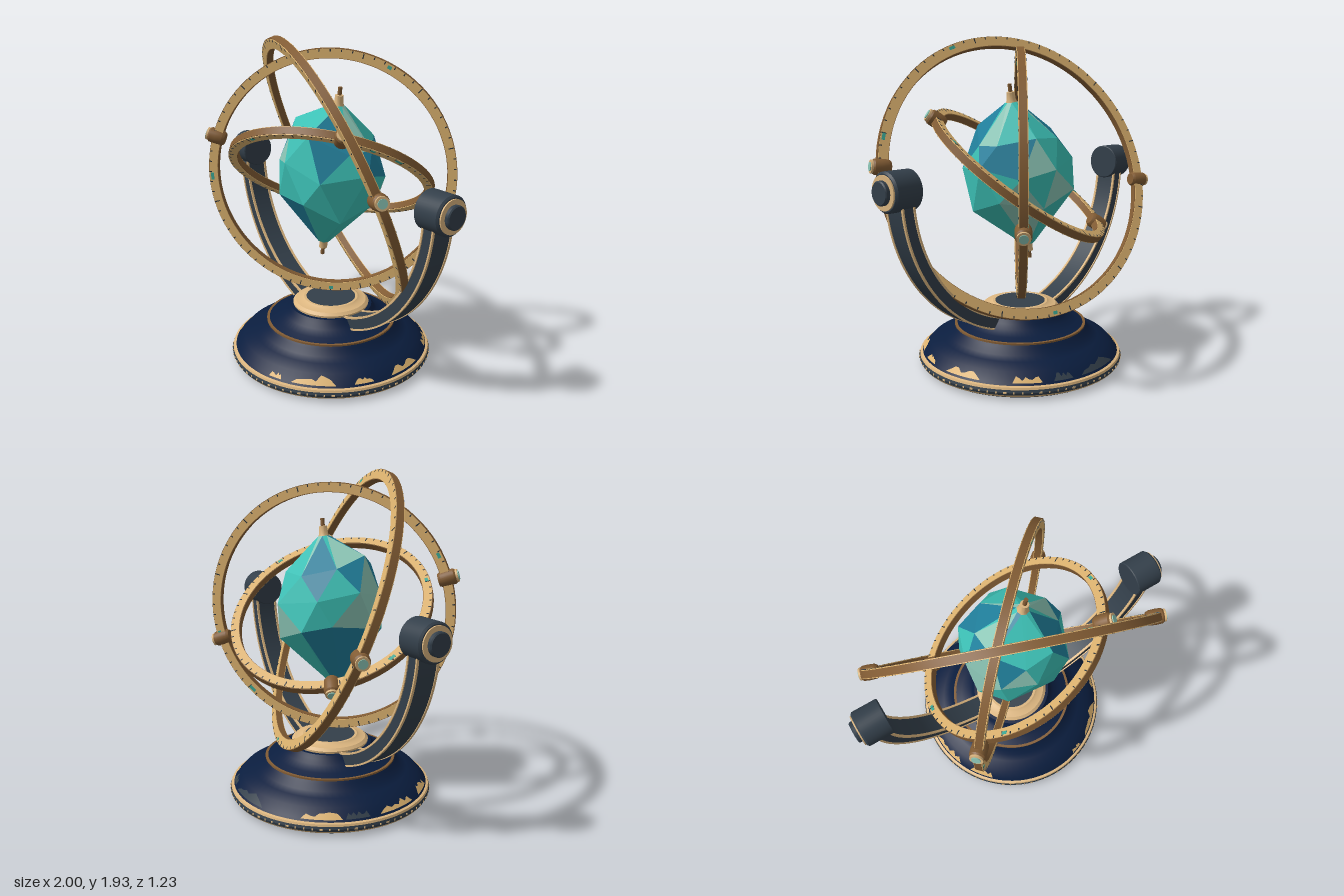
import * as THREE from 'three';
import { mergeGeometries, toCreasedNormals } from 'three/addons/utils/BufferGeometryUtils.js';

const mat = (name, color) => Object.assign(new THREE.MeshStandardMaterial({ color }), { name });
const M = {
  brass: mat('brass', 0xdcb26f), bronze: mat('bronze', 0x825c34), cream: mat('pale brass', 0xdcb680),
  slate: mat('slate', 0x333f4a), navy: mat('navy paint', 0x0a1d3e), dark: mat('dark iron', 0x2a323a),
  teal: mat('teal crystal', 0x3cc0b5), blue: mat('blue crystal', 0x207f9b), pale: mat('pale crystal', 0x8cc6b6),
  verdigris: mat('verdigris', 0x3aa795),
};
const CENTRE = 1.135;
const UP = new THREE.Vector3(0, 1, 0);

function add(parent, name, geometry, material) {
  const mesh = new THREE.Mesh(geometry, material);
  mesh.name = name;
  parent.add(mesh);
  return mesh;
}
function group(parent, name) {
  const g = new THREE.Group();
  g.name = name;
  parent.add(g);
  return g;
}
// Profile points are [radius, height], listed upwards on the outside.
const lathe = (pts, seg = 72) =>
  toCreasedNormals(new THREE.LatheGeometry(pts.map(p => new THREE.Vector2(...p)), seg), 0.5);
const band = (ri, ro, y0, y1, seg = 96) => lathe([[ro, y0], [ro, y1], [ri, y1], [ri, y0], [ro, y0]], seg);
const disc = (r, y0, y1, seg = 32) => new THREE.CylinderGeometry(r, r, y1 - y0, seg).translate(0, (y0 + y1) / 2, 0);
function random(seed) {
  return () => {
    seed = (seed * 16807) % 2147483647;
    return seed / 2147483647;
  };
}

function sector(ri, ro, a0, a1, depth) {
  const s = new THREE.Shape();
  s.absarc(0, 0, ro, a0, a1, false);
  s.absarc(0, 0, ri, a1, a0, true);
  return new THREE.ExtrudeGeometry(s, { depth, bevelEnabled: false, curveSegments: 40 }).translate(0, 0, -depth / 2);
}

// Jagged patches of worn paint at the foot of the skirt: [angle, half width, height share]
function wornPaint(wear, seed) {
  const rnd = random(seed), n = 9;
  return mergeGeometries(wear.map(([mid, half, height]) => {
    const pos = [], idx = [];
    for (let i = 0; i <= n; i++) {
      const a = mid + half * (2 * i / n - 1);
      const top = (i === 0 || i === n) ? 0.02 : height * (0.35 + 0.65 * rnd());
      for (const t of [0, top]) {
        const r = 0.584 - 0.045 * t;
        pos.push(r * Math.sin(a), 0.088 + 0.05 * t, r * Math.cos(a));
      }
      if (i < n) idx.push(2 * i, 2 * i + 2, 2 * i + 3, 2 * i, 2 * i + 3, 2 * i + 1);
    }
    const g = new THREE.BufferGeometry();
    g.setAttribute('position', new THREE.Float32BufferAttribute(pos, 3));
    g.setIndex(idx);
    g.computeVertexNormals();
    return g;
  }));
}

function buildBase(root) {
  const base = group(root, 'base');
  add(base, 'underside', lathe([[0, 0], [0.565, 0], [0.578, 0.008]]), M.dark);
  add(base, 'lowerRimTrim', lathe([[0.578, 0.008], [0.6, 0.02], [0.607, 0.03]]), M.cream);
  add(base, 'rimBand', lathe([[0.607, 0.03], [0.612, 0.045], [0.607, 0.06]]), M.slate);
  add(base, 'upperRimTrim', lathe([[0.607, 0.06], [0.603, 0.072], [0.588, 0.076]]), M.cream);
  add(base, 'skirt', lathe([[0.589, 0.076], [0.58, 0.087], [0.535, 0.135], [0.47, 0.16], [0.43, 0.18], [0.405, 0.215], [0.39, 0.232]]), M.navy);
  add(base, 'stepTrim', band(0.37, 0.395, 0.227, 0.237), M.bronze);
  add(base, 'upperStep', lathe([[0.385, 0.235], [0.34, 0.25], [0.285, 0.275], [0.265, 0.3], [0.25, 0.322], [0.2, 0.324]]), M.navy);
  add(base, 'topCollar', lathe([[0.23, 0.32], [0.232, 0.335], [0.215, 0.35], [0.18, 0.355], [0.165, 0.365], [0.15, 0.365]]), M.cream);
  add(base, 'topPlate', disc(0.155, 0.33, 0.362, 48), M.slate);
  const dots = [];
  for (let i = 0; i < 80; i++)
    dots.push(new THREE.BoxGeometry(i % 4 ? 0.008 : 0.018, 0.009, 0.006).translate(0, 0.045, 0.611).rotateY(i * Math.PI / 40));
  add(base, 'rimStuds', mergeGeometries(dots), M.cream);
  add(base, 'bareMetalPatches', wornPaint([[0.75, 0.22, 0.95], [-0.9, 0.14, 0.7], [0.35, 0.07, 0.5], [-1.4, 0.22, 0.7],
    [1.25, 0.1, 0.6], [1.75, 0.2, 0.8], [2.4, 0.14, 0.6], [-2.2, 0.2, 0.7]], 77), M.brass);
  add(base, 'primerPatches', wornPaint([[3.2, 0.25, 0.95], [2.75, 0.1, 0.7], [-1.85, 0.12, 0.6]], 31), M.slate);
}

// One curved arm on +x with its pivot drum; the other is turned half round.
function buildArm(root, name, turn) {
  const arm = group(root, name);
  arm.position.y = CENTRE;
  arm.rotation.y = turn;
  const a0 = -1.4, a1 = -0.05;
  add(arm, 'armBeam', sector(0.842, 0.912, a0, a1, 0.132), M.slate);
  // Pale edging along the inner and outer corners
  for (const s of [-1, 1]) {
    add(arm, 'innerEdging', sector(0.836, 0.847, a0, a1, 0.014), M.cream).position.z = s * 0.065;
    add(arm, 'outerEdging', sector(0.906, 0.916, a0, a1, 0.014), M.cream).position.z = s * 0.065;
  }
  const drum = group(arm, 'pivotDrum');
  drum.rotation.z = -Math.PI / 2;
  add(drum, 'drum', lathe([[0, 0.805], [0.101, 0.805], [0.106, 0.81], [0.106, 0.958], [0.096, 0.968], [0, 0.968]], 40), M.slate);
  add(drum, 'drumRing', disc(0.09, 0.96, 0.976, 40), M.cream);
  add(drum, 'drumCap', lathe([[0.063, 0.97], [0.063, 0.994], [0.057, 1], [0, 1]], 40), M.slate);
}

// A graduated ring facing along its normal, with a knob at each end of a diameter.
function buildRing(root, name, ri, ro, normal, knobDir, seed) {
  const holder = group(root, name);
  holder.position.y = CENTRE;
  const ring = group(holder, 'graduatedRing');
  ring.quaternion.setFromUnitVectors(UP, new THREE.Vector3(...normal).normalize());
  const h = 0.02, t = 0.004, rnd = random(seed);
  add(ring, 'ringBody', band(ri, ro, -h, h), M.bronze);
  const ticks = [];
  for (const s of [-1, 1]) {
    const y = s * (h + t / 2);
    add(ring, 'ringFace', band(ri + 0.003, ro - 0.003, y - t / 2, y + t / 2), M.brass);
    for (let i = 0; i < 72; i++) {
      const len = i % 6 ? 0.014 : 0.03;
      ticks.push(new THREE.BoxGeometry(len, 0.003, 0.006)
        .translate(ro - 0.004 - len / 2, y + s * t / 2, 0).rotateY(i * Math.PI / 36));
    }
    for (let i = 0; i < 3; i++) {
      const a = rnd() * 6.28;
      const spot = sector(ro - 0.03, ro - 0.012, a, a + 0.03 + 0.04 * rnd(), 0.003).rotateX(Math.PI / 2);
      add(ring, 'patina', spot, M.verdigris).position.y = s * (h + t);
    }
  }
  add(ring, 'graduations', mergeGeometries(ticks), M.dark);

  const mid = (ri + ro) / 2;
  for (const s of [-1, 1]) {
    const knob = group(holder, 'knob');
    const dir = new THREE.Vector3(...knobDir).normalize().multiplyScalar(s);
    knob.quaternion.setFromUnitVectors(UP, dir);
    add(knob, 'knobBarrel', lathe([[0, mid - 0.045], [0.035, mid - 0.045], [0.044, mid - 0.03],
      [0.046, mid + 0.01], [0.044, mid + 0.045], [0.036, mid + 0.056], [0, mid + 0.056]], 24), M.bronze);
    add(knob, 'knobCollar', disc(0.037, mid + 0.05, mid + 0.066, 24), M.cream);
    add(knob, 'knobJewel', disc(0.025, mid + 0.06, mid + 0.071, 20), M.pale);
  }
}

function buildCrystal(root) {
  const holder = group(root, 'crystalSpindle');
  holder.position.y = CENTRE;
  holder.rotation.z = -0.165;
  // Staggered, slightly uneven rows of corners: [height, radius]
  const rows = [[0.425, 0.035], [0.25, 0.25], [0.08, 0.315], [-0.12, 0.305], [-0.43, 0.04]];
  const n = 8, rnd = random(4321);
  const grid = rows.map(([y, r], k) => Array.from({ length: n }, (_, i) => {
    const inner = k > 0 && k < rows.length - 1;
    const a = (i + k / 2 + (inner ? (rnd() - 0.5) * 0.35 : 0)) * Math.PI * 2 / n;
    const rr = r * (inner ? 0.95 + 0.12 * rnd() : 1);
    return [rr * Math.sin(a), y + (inner ? (rnd() - 0.5) * 0.09 : 0), rr * Math.cos(a)];
  }));
  const faces = { teal: [], blue: [], pale: [] };
  const facet = (a, b, c) => {
    const v = rnd();
    faces[v < 0.58 ? 'teal' : v < 0.78 ? 'blue' : 'pale'].push(...a, ...b, ...c);
  };
  for (let k = 0; k < rows.length - 1; k++)
    for (let i = 0; i < n; i++) {
      const j = (i + 1) % n, up = grid[k], low = grid[k + 1];
      facet(up[i], low[i], up[j]);
      facet(low[i], low[j], up[j]);
    }
  for (const key in faces) {
    const g = new THREE.BufferGeometry();
    g.setAttribute('position', new THREE.Float32BufferAttribute(faces[key], 3));
    g.computeVertexNormals();
    add(holder, key + 'Facets', g, M[key]);
  }
  // Collars and pins at both tips
  for (const flip of [0, Math.PI]) {
    const tip = group(holder, 'spindleTip');
    tip.rotation.z = flip;
    add(tip, 'tipCollar', lathe([[0, 0.415], [0.036, 0.415], [0.026, 0.44], [0.024, 0.482], [0, 0.485]], 20), M.cream);
    add(tip, 'tipPin', disc(0.012, 0.48, 0.528, 12), M.bronze);
  }
}

export function createModel() {
  const root = new THREE.Group();
  root.name = 'armillaryCrystal';
  buildBase(root);
  buildArm(root, 'leftArm', 0);
  buildArm(root, 'rightArm', Math.PI);
  buildRing(root, 'outerRing', 0.79, 0.852, [-0.305, -0.37, 0.88], [0.78, 0.085, 0.305], 11);
  buildRing(root, 'middleRing', 0.672, 0.728, [0.707, 0, 0.707], [-0.48, 0.21, 0.48], 29);
  buildRing(root, 'innerRing', 0.55, 0.605, [-0.33, 0.81, -0.49], [0.43, 0.327, 0.25], 53);
  buildCrystal(root);
  return root;
}
